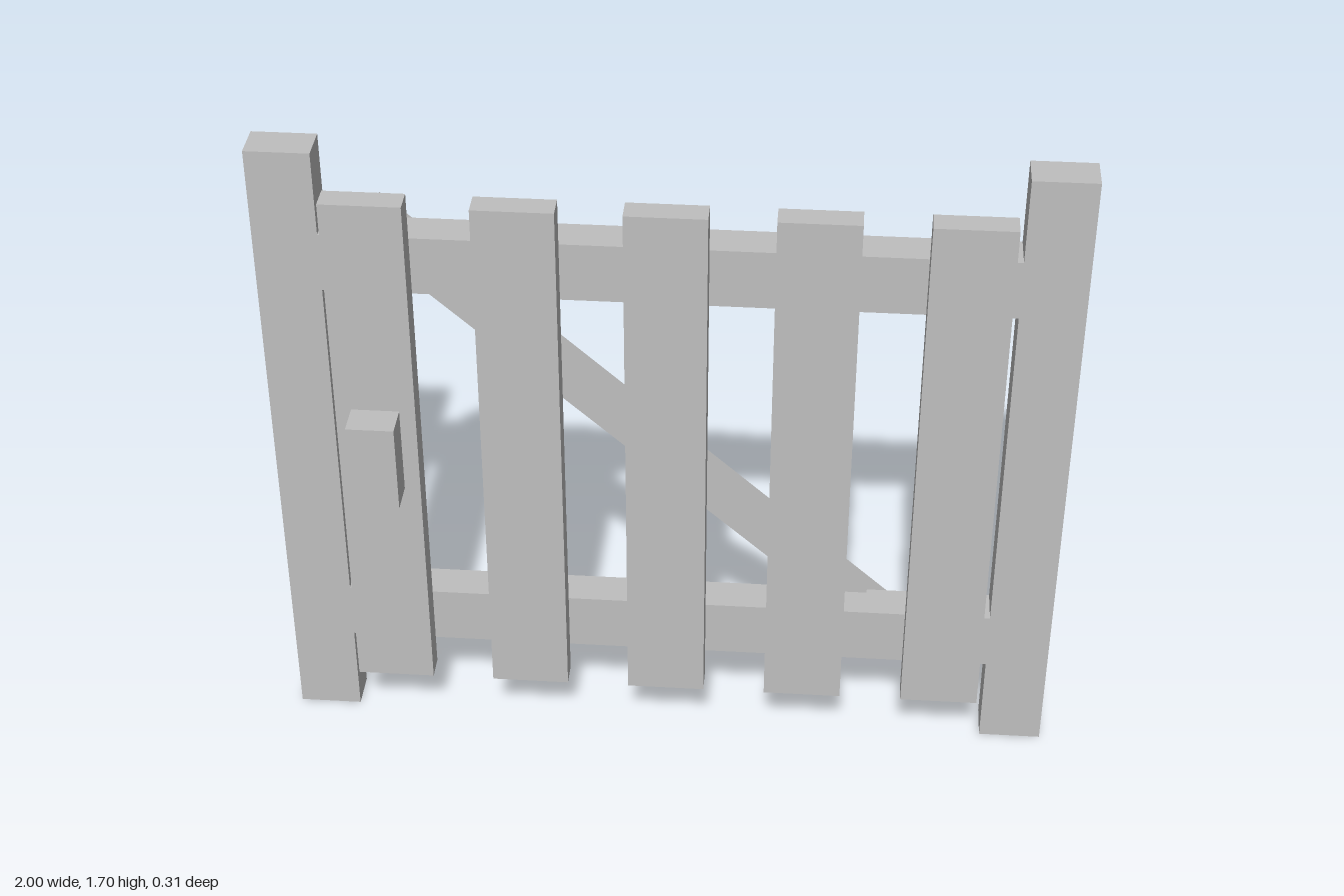
import * as THREE from 'three';

export function createModel() {
  const gate = new THREE.Group();
  gate.name = 'gate';
  const grey = new THREE.MeshStandardMaterial({ color: 0xbfbfbf });
  grey.name = 'plain grey';

  // Box given by its extents along each axis
  function board(name, [x0, x1], [y0, y1], [z0, z1]) {
    const mesh = new THREE.Mesh(new THREE.BoxGeometry(x1 - x0, y1 - y0, z1 - z0), grey);
    mesh.name = name;
    mesh.position.set((x0 + x1) / 2, (y0 + y1) / 2, (z0 + z1) / 2);
    gate.add(mesh);
    return mesh;
  }

  const frameDepth = [-0.094, 0.003];

  // Side posts
  board('rightPost', [-1, -0.84], [0, 1.7], frameDepth);
  board('leftPost', [0.84, 1], [0, 1.7], frameDepth);

  // Horizontal rails
  board('lowerRail', [-0.84, 0.84], [0.245, 0.4], frameDepth);
  board('upperRail', [-0.84, 0.84], [1.325, 1.48], frameDepth);

  // Upright pickets on the front
  for (let i = -2; i <= 2; i++) {
    const x = i * 0.36;
    board('picket' + (i + 3), [x - 0.1, x + 0.1], [0.165, 1.602], [0.003, 0.068]);
  }

  // Latch block on the end picket
  board('latchBlock', [-0.78, -0.66], [0.785, 1.02], [0.068, 0.154]);

  // Diagonal brace across the back, let slightly into the rails
  const brace = board('diagonalBrace', [-1.0, 1.0], [0.757, 0.855], [-0.155, -0.08]);
  brace.position.x = -0.004;
  brace.rotation.z = -0.734;

  return gate;
}
